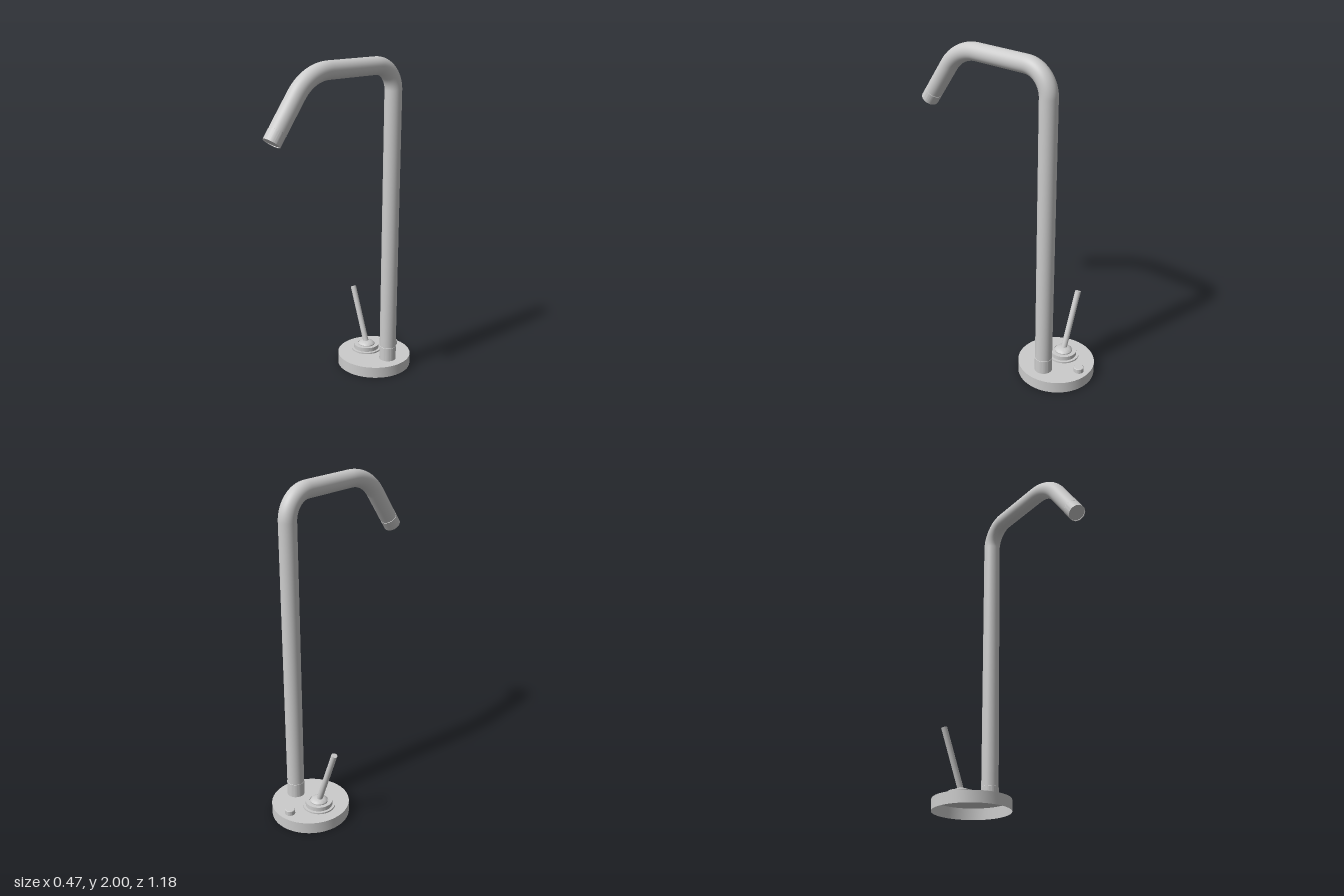
import * as THREE from 'three';
import { toCreasedNormals } from 'three/addons/utils/BufferGeometryUtils.js';

const AXIS_Z = -0.355; // shared depth of base, riser and lever
const material = new THREE.MeshStandardMaterial({ color: 0xcccccc });
const shellMaterial = new THREE.MeshStandardMaterial({ color: 0xcccccc, side: THREE.DoubleSide });

function addMesh(parent, name, geometry, mat = material) {
  const mesh = new THREE.Mesh(geometry, mat);
  mesh.name = name;
  parent.add(mesh);
  return mesh;
}

// Revolved profile of [radius, height] pairs, listed bottom to top, with crisp edges
function turned(profile, segments = 64) {
  const points = profile.map(([r, y]) => new THREE.Vector2(r, y));
  return toCreasedNormals(new THREE.LatheGeometry(points, segments), 0.5);
}

// Quarter or partial bend in the vertical plane of the spout
class Bend extends THREE.Curve {
  constructor(x, y, z, radius, from, to) {
    super();
    Object.assign(this, { x, y, z, radius, from, to });
  }
  getPoint(t, target = new THREE.Vector3()) {
    const a = this.from + (this.to - this.from) * t;
    return target.set(this.x, this.y + this.radius * Math.sin(a), this.z + this.radius * Math.cos(a));
  }
}

export function createModel() {
  const model = new THREE.Group();
  model.name = 'faucet';

  // Hollow base cup, open underneath
  const base = addMesh(model, 'base', turned([[0.235, 0], [0.235, 0.07], [0, 0.07]], 96), shellMaterial);
  base.position.z = AXIS_Z;

  // Riser, collar and bent spout
  const x = 0.125, top = 1.948, r = 0.052;
  const R1 = 0.15, R2 = 0.28, tilt = 0.935; // bend radii and downward angle of the outlet
  const bendZ = 0.15;
  const tip = new THREE.Vector3(x, 1.6, 0.547);
  const down = new THREE.Vector3(0, -Math.sin(tilt), Math.cos(tilt));
  const aeratorLength = 0.07;

  const collar = addMesh(model, 'spoutCollar',
    turned([[0.053, 0.07], [0.053, 0.158], [0.05, 0.16], [0.05, 0.163]]));
  collar.position.set(x, 0, AXIS_Z);

  const bend1 = new Bend(x, top - R1, AXIS_Z + R1, R1, Math.PI, Math.PI / 2);
  const bend2 = new Bend(x, top - R2, bendZ, R2, Math.PI / 2, Math.PI / 2 - tilt);
  const path = new THREE.CurvePath();
  const aeratorTop = tip.clone().addScaledVector(down, -aeratorLength);
  path.add(new THREE.LineCurve3(new THREE.Vector3(x, 0.16, AXIS_Z), bend1.getPoint(0)));
  path.add(bend1);
  path.add(new THREE.LineCurve3(bend1.getPoint(1), bend2.getPoint(0)));
  path.add(bend2);
  path.add(new THREE.LineCurve3(bend2.getPoint(1), aeratorTop));
  addMesh(model, 'spout', new THREE.TubeGeometry(path, 200, r, 40, false), shellMaterial);

  // Outlet fitting with a fine groove and a slightly recessed face
  const aerator = addMesh(model, 'aerator', turned([
    [0, 0.004], [0.047, 0.004], [0.047, 0], [0.052, 0],
    [0.052, aeratorLength - 0.004], [0.049, aeratorLength - 0.003], [0.049, aeratorLength + 0.003],
  ]));
  aerator.position.copy(tip);
  aerator.quaternion.setFromUnitVectors(new THREE.Vector3(0, 1, 0), down.clone().negate());

  // Stepped valve seat with a domed cap
  const valve = new THREE.Group();
  valve.name = 'valve';
  valve.position.set(-0.072, 0, AXIS_Z);
  model.add(valve);
  addMesh(valve, 'valveSeat', turned([
    [0.097, 0.07], [0.097, 0.079], [0.081, 0.079], [0.081, 0.105], [0.057, 0.105], [0.057, 0.1], [0, 0.1],
  ]));
  addMesh(valve, 'valveDome', turned([
    [0.053, 0.1], [0.053, 0.108], [0.047, 0.115], [0.036, 0.121], [0.022, 0.125], [0, 0.127],
  ]));

  // Slanted lever
  const start = new THREE.Vector3(-0.002, 0.11, 0), end = new THREE.Vector3(-0.13, 0.472, 0);
  const axis = end.clone().sub(start);
  const lever = addMesh(valve, 'lever', new THREE.CylinderGeometry(0.018, 0.018, axis.length(), 32));
  lever.position.copy(start).add(end).multiplyScalar(0.5);
  lever.quaternion.setFromUnitVectors(new THREE.Vector3(0, 1, 0), axis.normalize());

  // Small button at the back of the base
  const button = addMesh(model, 'rearButton',
    turned([[0.03, 0.07], [0.03, 0.097], [0.027, 0.1], [0, 0.1]], 40));
  button.position.z = -0.53;

  return model;
}
